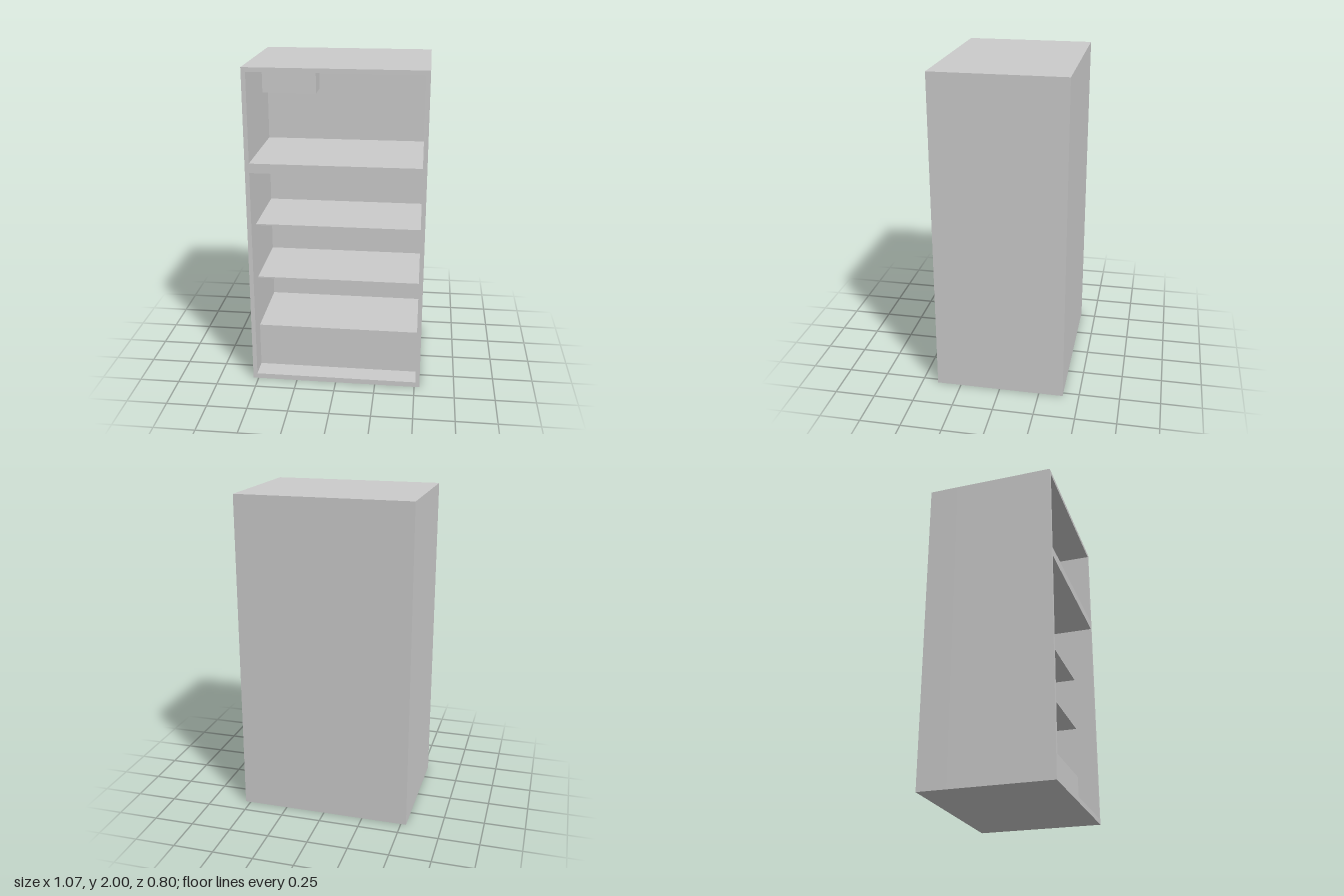
import * as THREE from 'three';

const W = 1.066, H = 2, D = 0.8;   // outer size
const IN = 0.507;                  // half width of the inside
const FRONT = D / 2, BACK = -0.22; // front plane and inner back wall
const SHELF_FRONT = 0.27;

const material = new THREE.MeshStandardMaterial({ color: 0xcccccc, flatShading: true });

// Box given by its limits on each axis
function block(name, x0, x1, y0, y1, z0, z1) {
  const mesh = new THREE.Mesh(new THREE.BoxGeometry(x1 - x0, y1 - y0, z1 - z0), material);
  mesh.position.set((x0 + x1) / 2, (y0 + y1) / 2, (z0 + z1) / 2);
  mesh.name = name;
  return mesh;
}

// Closed rectangle outline
function rectangle(PathType, x0, x1, y0, y1) {
  return new PathType([[x0, y0], [x1, y0], [x1, y1], [x0, y1]].map(p => new THREE.Vector2(...p)));
}

export function createModel() {
  const model = new THREE.Group();
  model.name = 'refrigerator';

  // Cabinet shell with an upper and a lower compartment
  const outline = rectangle(THREE.Shape, -W / 2, W / 2, 0, H);
  for (const [y0, y1] of [[0.033, 1.38], [1.438, 1.974]]) {
    outline.holes.push(rectangle(THREE.Path, -IN, IN, y0, y1));
  }
  const shell = new THREE.Mesh(
    new THREE.ExtrudeGeometry(outline, { depth: FRONT - BACK, bevelEnabled: false }), material);
  shell.position.z = BACK;
  shell.name = 'cabinetShell';
  model.add(shell);

  // Thick back behind both compartments
  model.add(block('cabinetBack', -W / 2, W / 2, 0, H, -D / 2, BACK));

  // Thin shelves set back from the front
  [0.653, 1.009].forEach((y, i) => {
    model.add(block(`shelf${i + 1}`, -IN, IN, y - 0.004, y + 0.004, BACK, SHELF_FRONT));
  });

  // Drawer block on the floor of the lower compartment
  model.add(block('drawer', -IN, IN, 0.033, 0.316, BACK, SHELF_FRONT));

  // Small box in the upper corner of the top compartment
  model.add(block('iceBox', -IN, -0.17, 1.768, 1.974, BACK, -0.05));

  return model;
}
